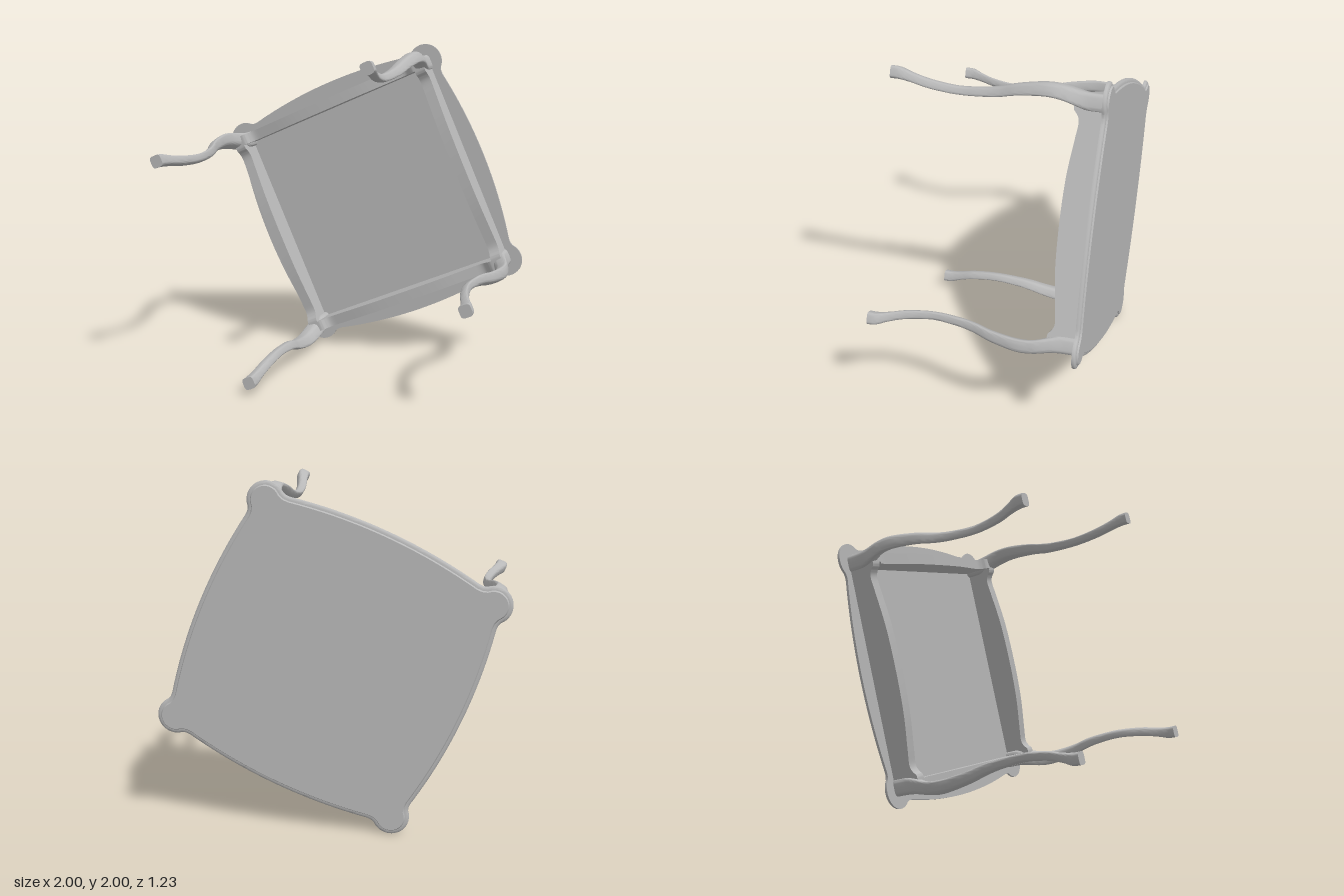
import * as THREE from 'three';
import { toCreasedNormals } from 'three/addons/utils/BufferGeometryUtils.js';

const V = (x, y, z = 0) => new THREE.Vector3(x, y, z);

// Closed solid through equal-length counter-clockwise rings, ordered by rising z
function loft(rings, crease) {
  const n = rings[0].length, index = [];
  const pos = rings.flat().flatMap((p) => [p.x, p.y, p.z]);
  for (let i = 0; i < rings.length - 1; i++) {
    for (let j = 0; j < n; j++) {
      const a = i * n + j, b = i * n + ((j + 1) % n);
      index.push(a, b, b + n, a, b + n, a + n);
    }
  }
  const cap = (ring) => THREE.ShapeUtils.triangulateShape(ring.map((p) => new THREE.Vector2(p.x, p.y)), []);
  const last = (rings.length - 1) * n;
  for (const [a, b, c] of cap(rings[0])) index.push(a, c, b);
  for (const [a, b, c] of cap(rings[rings.length - 1])) index.push(a + last, b + last, c + last);
  const g = new THREE.BufferGeometry();
  g.setAttribute('position', new THREE.Float32BufferAttribute(pos, 3));
  g.setIndex(index);
  return toCreasedNormals(g, crease);
}

// Table top outline: gently bowed sides meeting round ears at the corners
function topOutline() {
  const c = 0.678, r = 0.105, quarter = [];
  for (let i = 0; i <= 40; i++) {
    const v = -0.56 + (1.12 * i) / 40;
    quarter.push(V(0.8 - 0.165 * v * v, v));
  }
  quarter.push(V(0.748, 0.585));
  for (let i = 0; i <= 20; i++) {
    const t = THREE.MathUtils.degToRad(-43 + (176 * i) / 20);
    quarter.push(V(c + r * Math.cos(t), c + r * Math.sin(t)));
  }
  quarter.push(V(0.585, 0.748));
  const all = [];
  for (let k = 0; k < 4; k++) {
    for (const p of quarter) all.push(p.clone().applyAxisAngle(V(0, 0, 1), (k * Math.PI) / 2));
  }
  return all;
}

// Move a ring inward along its normals and place it at height z
function insetRing(ring, d, z) {
  const n = ring.length;
  return ring.map((p, i) => {
    const t = ring[(i + 1) % n].clone().sub(ring[(i + n - 1) % n]).normalize();
    return V(p.x - t.y * d, p.y + t.x * d, z);
  });
}

// Cabriole leg: stations of [z, distance from centre, radial half, tangential half]
function legGeometry() {
  const stations = [
    [-0.583, 0.935, 0.051, 0.051], [-0.5, 0.937, 0.051, 0.051], [-0.44, 0.957, 0.041, 0.05],
    [-0.35, 0.989, 0.033, 0.048], [-0.25, 0.995, 0.032, 0.044], [-0.1, 0.967, 0.028, 0.038],
    [0, 0.934, 0.025, 0.034], [0.1, 0.914, 0.023, 0.03], [0.25, 0.903, 0.021, 0.027],
    [0.4, 0.925, 0.023, 0.028], [0.5, 0.959, 0.026, 0.029], [0.565, 0.983, 0.034, 0.034],
    [0.615, 0.986, 0.036, 0.036],
  ];
  const spline = (col) => new THREE.CatmullRomCurve3(
    stations.map((s) => V(s[1], s[col], s[0])), false, 'catmullrom').getPoints((stations.length - 1) * 4);
  const radial = spline(2), tangential = spline(3);
  const soft = (v) => Math.sign(v) * Math.pow(Math.abs(v), 0.5);
  const rings = radial.map((s, i) => {
    const ring = [];
    for (let j = 0; j < 28; j++) {
      const t = (j / 28) * Math.PI * 2;
      const x = soft(Math.cos(t)), y = soft(Math.sin(t));
      const e = s.x + ((x + y) / Math.SQRT2) * s.y;
      const f = ((y - x) / Math.SQRT2) * tangential[i].y;
      ring.push(V((e - f) / Math.SQRT2, (e + f) / Math.SQRT2, s.z));
    }
    return ring;
  });
  return loft(rings, 0.75);
}

// Apron rail with a scalloped free edge, ends buried in the leg blocks
function apronGeometry() {
  const half = [[0.66, -0.42], [0.615, -0.422], [0.59, -0.442], [0.55, -0.456], [0.46, -0.446], [0.25, -0.422]];
  const edge = [...half, [0, -0.415], ...half.map(([x, y]) => [-x, y]).reverse()];
  const shape = new THREE.Shape();
  shape.moveTo(-0.66, -0.584);
  shape.lineTo(0.66, -0.584);
  shape.lineTo(...half[0]);
  shape.splineThru(edge.slice(1).map(([x, y]) => new THREE.Vector2(x, y)));
  shape.closePath();
  const g = new THREE.ExtrudeGeometry(shape, { depth: 0.065, bevelEnabled: false, curveSegments: 4 });
  g.rotateX(Math.PI / 2);
  g.translate(0, -0.635, 0);
  return toCreasedNormals(g, 0.6);
}

export function createModel() {
  const grey = new THREE.MeshStandardMaterial({ color: 0xb8b8b8 });
  grey.name = 'plain grey';
  const table = new THREE.Group();
  table.name = 'table';

  // Table top with a moulded rim, facing -z
  const outline = topOutline();
  const rim = [[0.028, -0.615], [0.024, -0.611], [0.022, -0.606], [0.012, -0.605],
    [0.004, -0.601], [0, -0.595], [0, -0.583]];
  const top = new THREE.Mesh(loft(rim.map(([d, z]) => insetRing(outline, d, z)), 0.6), grey);
  top.name = 'tableTop';
  table.add(top);

  // Four legs and four apron rails around the centre
  const parts = { leg: legGeometry(), apron: apronGeometry() };
  for (let k = 0; k < 4; k++) {
    for (const [name, geometry] of Object.entries(parts)) {
      const mesh = new THREE.Mesh(geometry, grey);
      mesh.name = name + (k + 1);
      mesh.rotation.z = (k * Math.PI) / 2;
      table.add(mesh);
    }
  }

  // The table lies on its side, turned about its own axis
  table.rotation.z = THREE.MathUtils.degToRad(23.7);
  table.position.y = 1;
  const model = new THREE.Group();
  model.name = 'tippedTable';
  model.add(table);
  return model;
}
